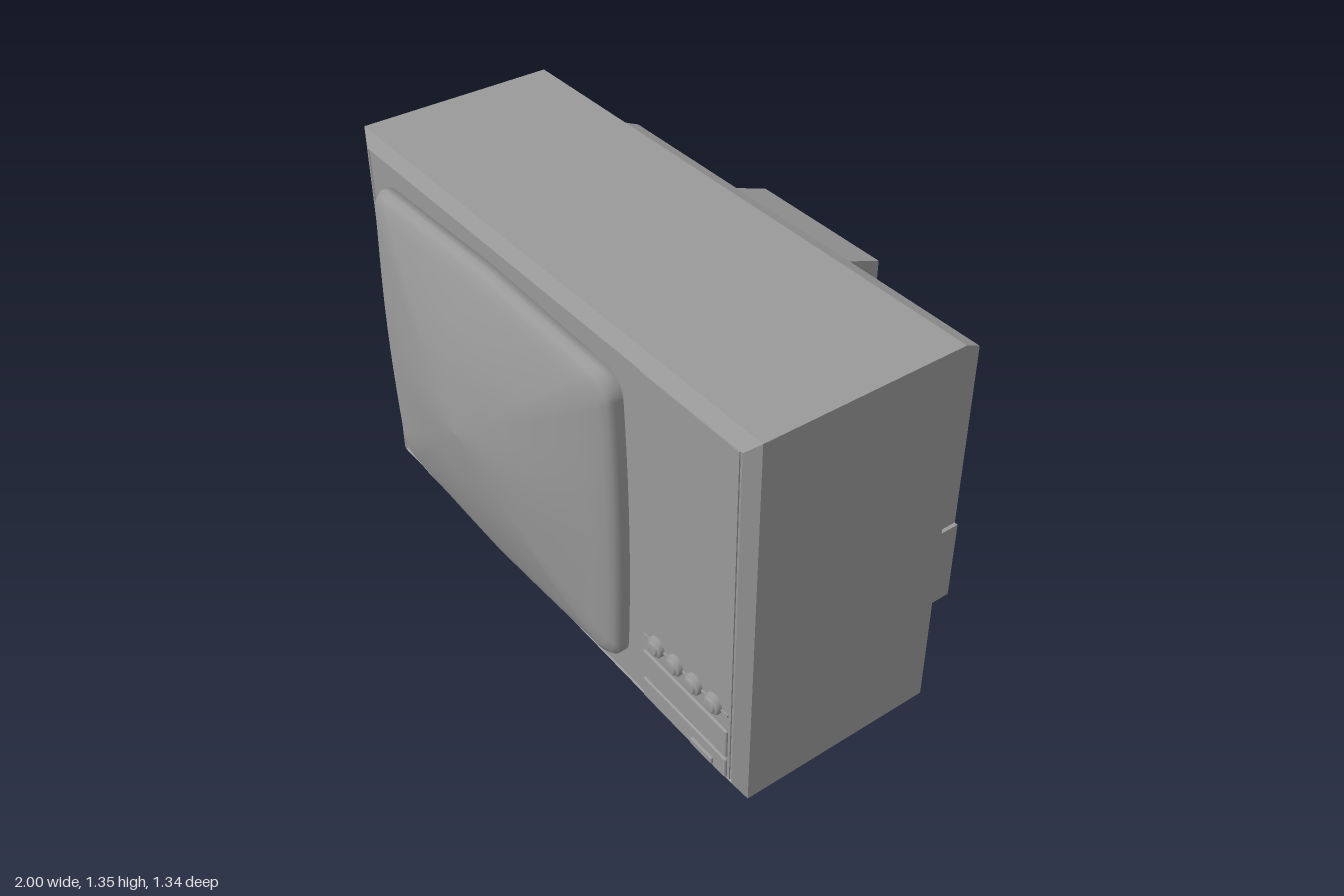
import * as THREE from 'three';
import { RoundedBoxGeometry } from 'three/addons/geometries/RoundedBoxGeometry.js';

const grey = new THREE.MeshStandardMaterial({ color: 0x9a9a9a });

// Skin over counter-clockwise rings running towards +z, closed at both ends
function loft(rings, smooth) {
  const n = rings[0].length, pos = [], idx = [];
  rings.forEach(r => r.forEach(p => pos.push(...p)));
  for (let i = 0; i < rings.length - 1; i++) {
    for (let j = 0; j < n; j++) {
      const k = (j + 1) % n, a = i * n + j, b = i * n + k;
      idx.push(a, b, b + n, a, b + n, a + n);
    }
  }
  const last = (rings.length - 1) * n;
  for (let j = 1; j < n - 1; j++) {
    idx.push(0, j + 1, j, last, last + j, last + j + 1);
  }
  let geo = new THREE.BufferGeometry();
  geo.setAttribute('position', new THREE.Float32BufferAttribute(pos, 3));
  geo.setIndex(idx);
  if (!smooth) geo = geo.toNonIndexed();
  geo.computeVertexNormals();
  return geo;
}

// Rectangular ring at depth z
const rect = (x0, x1, y0, y1, z) => [[x0, y0, z], [x1, y0, z], [x1, y1, z], [x0, y1, z]];

// Side profile of [z, y] points swept from x0 to x1
function prism(profile, x0, x1) {
  const shape = new THREE.Shape(profile.map(([z, y]) => new THREE.Vector2(-z, y)));
  const geo = new THREE.ExtrudeGeometry(shape, { depth: x1 - x0, bevelEnabled: false });
  return geo.rotateY(Math.PI / 2).translate(x0, 0, 0);
}

// Box from its limits, with optional rounded edges
function block(x0, x1, y0, y1, z0, z1, r = 0) {
  const s = [x1 - x0, y1 - y0, z1 - z0];
  const geo = r ? new RoundedBoxGeometry(...s, 2, r) : new THREE.BoxGeometry(...s);
  return geo.translate((x0 + x1) / 2, (y0 + y1) / 2, (z0 + z1) / 2);
}

// Rounded rectangle whose sides bow outwards
function screenOutline() {
  const hx = 0.65, hy = 0.53, r = 0.07, pts = [];
  const corners = [[1, 1], [-1, 1], [-1, -1], [1, -1]];
  const arcs = corners.map(([sx, sy], c) => Array.from({ length: 7 }, (_, i) => {
    const a = (c + i / 6) * Math.PI / 2;
    return [sx * (hx - r) + r * Math.cos(a), sy * (hy - r) + r * Math.sin(a)];
  }));
  arcs.forEach((arc, c) => {
    pts.push(...arc);
    const p = arc[6], q = arcs[(c + 1) % 4][0];
    for (let i = 1; i < 10; i++) {
      const t = i / 10;
      pts.push([p[0] + (q[0] - p[0]) * t, p[1] + (q[1] - p[1]) * t]);
    }
  });
  return pts.map(([x, y]) => [
    x * (1 + 0.03 * (1 - (y / hy) ** 2)),
    y * (1 + 0.042 * (1 - Math.abs(x / hx))),
  ]);
}

// Outline scaled by s, turning from rounded rectangle to ellipse towards the middle
function screenRing(outline, s, z) {
  const blend = Math.min(1, (1 - s) * 1.6);
  return outline.map(([x, y]) => {
    const k = s * (1 - blend + blend / Math.hypot(x / 0.67, y / 0.55));
    return [-0.205 + x * k, 0.695 + y * k, z];
  });
}

export function createModel() {
  const model = new THREE.Group();
  const add = (name, geo, parent = model) => {
    const mesh = new THREE.Mesh(geo, grey);
    mesh.name = name;
    parent.add(mesh);
    return mesh;
  };

  // Cabinet with chamfered front frame and very shallow front recess
  add('cabinet', loft([
    rect(-1, 1, 0.04, 1.348, -0.207),
    rect(-1, 1, 0.04, 1.348, 0.472),
    rect(-0.935, 0.957, 0.085, 1.305, 0.499),
    rect(-0.931, 0.953, 0.09, 1.301, 0.495),
  ]));

  // Bulging picture tube: [scale, z] of each ring
  const outline = screenOutline();
  const rings = [[1, 0.48], [1, 0.522], [0.985, 0.541], [0.955, 0.553], [0.9, 0.565],
    [0.84, 0.577], [0.68, 0.605], [0.52, 0.628], [0.38, 0.642], [0.25, 0.653], [0.12, 0.662], [0.001, 0.668]];
  add('screen', loft(rings.map(([s, z]) => screenRing(outline, s, z)), true));

  // Control panel on the model's left
  const controls = new THREE.Group();
  controls.name = 'controlPanel';
  model.add(controls);
  add('panelPlate', block(0.53, 0.945, 0.09, 1.3, 0.48, 0.499), controls);
  add('knobRail', block(0.535, 0.935, 0.345, 0.353, 0.49, 0.504), controls);
  add('upperDoor', block(0.535, 0.935, 0.178, 0.285, 0.48, 0.506, 0.006), controls);
  add('lowerDoor', block(0.535, 0.935, 0.09, 0.168, 0.48, 0.506, 0.006), controls);
  add('powerButton', block(0.78, 0.88, 0.103, 0.128, 0.49, 0.514, 0.004), controls);

  // Knobs with a stepped rim
  const knobProfile = [[0, 0.024], [0.019, 0.024], [0.022, 0.021], [0.022, 0.017],
    [0.029, 0.017], [0.034, 0.012], [0.034, -0.01]].reverse()
    .map(([r, h]) => new THREE.Vector2(r, h));
  for (let i = 0; i < 4; i++) {
    const knob = add('knob', new THREE.LatheGeometry(knobProfile, 24).rotateX(Math.PI / 2), controls);
    knob.position.set(0.602 + i * 0.09, 0.35, 0.499);
  }

  // Back cover plate with a raised inner plate
  add('backPlate', block(-0.967, 0.967, 0.06, 1.327, -0.212, -0.2));
  add('backPlateInner', block(-0.95, 0.95, 0.075, 1.31, -0.216, -0.2));

  // Rear housing with sloping top, lower side box and tube neck cover
  add('rearHousing', prism([[-0.2, 0.085], [-0.544, 0.085], [-0.544, 1.065], [-0.2, 1.22]], -0.93, 0.757));
  add('rearSideBox', block(0.7, 0.77, 0.085, 0.385, -0.543, -0.2));
  add('neckCover', prism([[-0.5, 0.51], [-0.67, 0.51], [-0.67, 1.02], [-0.544, 1.065], [-0.5, 1.065]], -0.37, 0.195));

  // Base plate and side runners tapering towards the floor
  add('basePlate', block(-0.72, 0.72, 0.003, 0.05, -0.18, 0.455));
  for (const x0 of [-0.865, 0.71]) {
    add('foot', prism([[-0.19, 0.05], [-0.19, 0.03], [-0.185, 0], [0.457, 0], [0.465, 0.03], [0.465, 0.05]], x0, x0 + 0.155));
  }
  return model;
}
